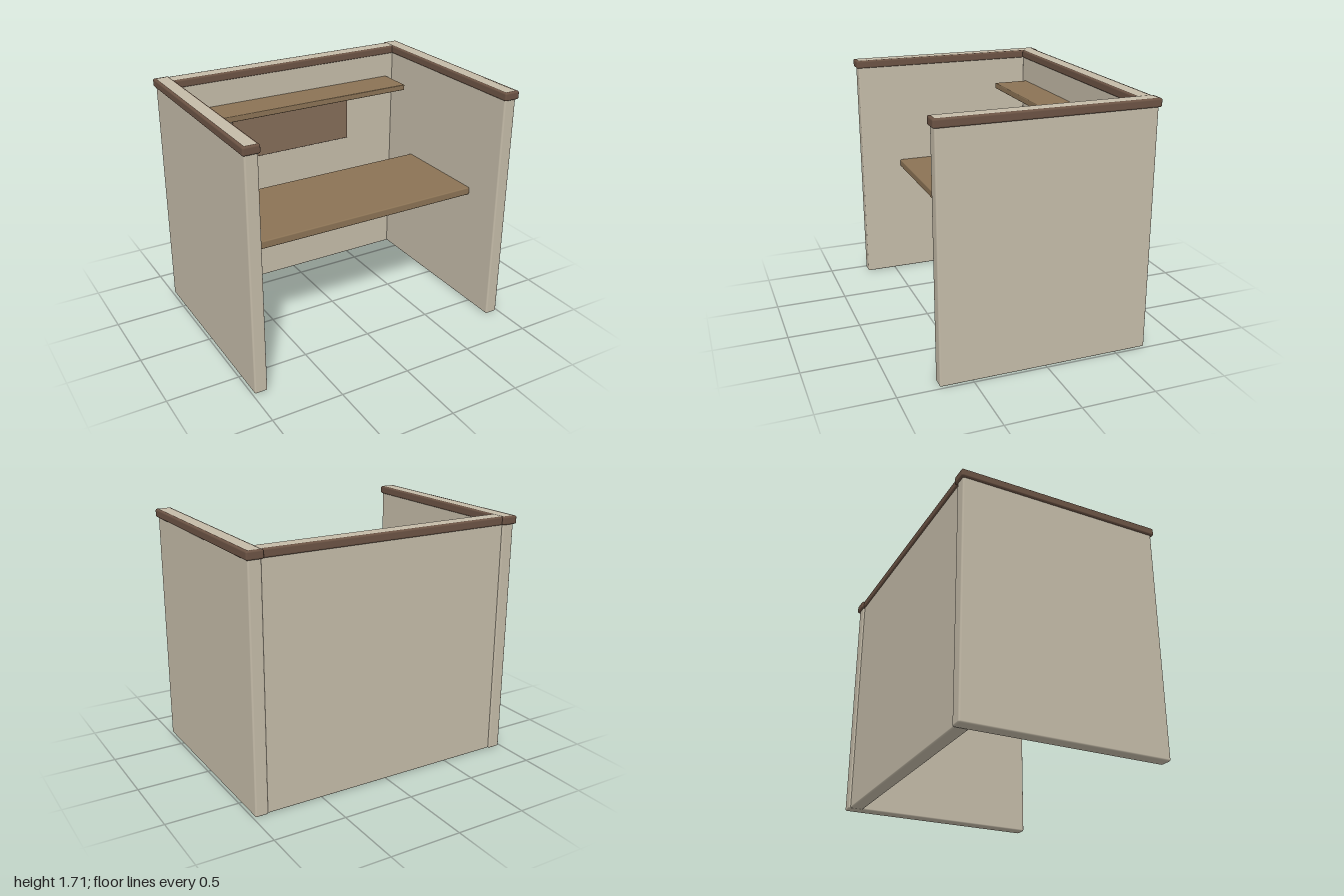
import * as THREE from 'three';
import { RoundedBoxGeometry } from 'three/addons/geometries/RoundedBoxGeometry.js';

const material = (color) => new THREE.MeshStandardMaterial({ color });

// Rounded slab given by its min/max extents on each axis
function slab(name, [x0, x1], [y0, y1], [z0, z1], radius, mat) {
  const geometry = new RoundedBoxGeometry(x1 - x0, y1 - y0, z1 - z0, 2, radius);
  const mesh = new THREE.Mesh(geometry, mat);
  mesh.name = name;
  mesh.position.set((x0 + x1) / 2, (y0 + y1) / 2, (z0 + z1) / 2);
  return mesh;
}

export function createModel() {
  const group = new THREE.Group();
  group.name = 'studyCarrel';

  const fabric = material(0xc4bba8);
  const trim = material(0x6b5344);
  const wood = material(0x8b7355);
  const board = material(0x846c58);

  const height = 1.71;
  const capY = [1.65, 1.707];

  // Side partitions with their top trim, mirrored
  for (const [side, s] of [['left', 1], ['right', -1]]) {
    const span = (a, b) => (s > 0 ? [a, b] : [-b, -a]);
    group.add(
      slab(side + 'Panel', span(0.895, 0.985), [0, height], [-0.72, 0.72], 0.012, fabric),
      slab(side + 'Trim', span(0.885, 1), capY, [-0.735, 0.735], 0.012, trim),
    );
  }

  // Back partition and its trim
  group.add(
    slab('backPanel', [-0.9, 0.9], [0, height], [-0.71, -0.615], 0.012, fabric),
    slab('backTrim', [-0.89, 0.89], capY, [-0.722, -0.605], 0.012, trim),
  );

  // Desk top, with the modesty panel hanging under its rear edge
  group.add(
    slab('deskTop', [-0.897, 0.897], [0.855, 0.91], [-0.315, 0.425], 0.008, wood),
    slab('modestyPanel', [-0.873, 0.873], [0.5, 0.832], [-0.3, -0.27], 0.004, board),
  );

  // Shelf and pin board on the back partition
  group.add(
    slab('shelf', [-0.84, 0.84], [1.43, 1.472], [-0.62, -0.355], 0.006, wood),
    slab('pinBoard', [-0.48, 0.48], [1.03, 1.387], [-0.62, -0.6], 0.003, board),
  );

  return group;
}
